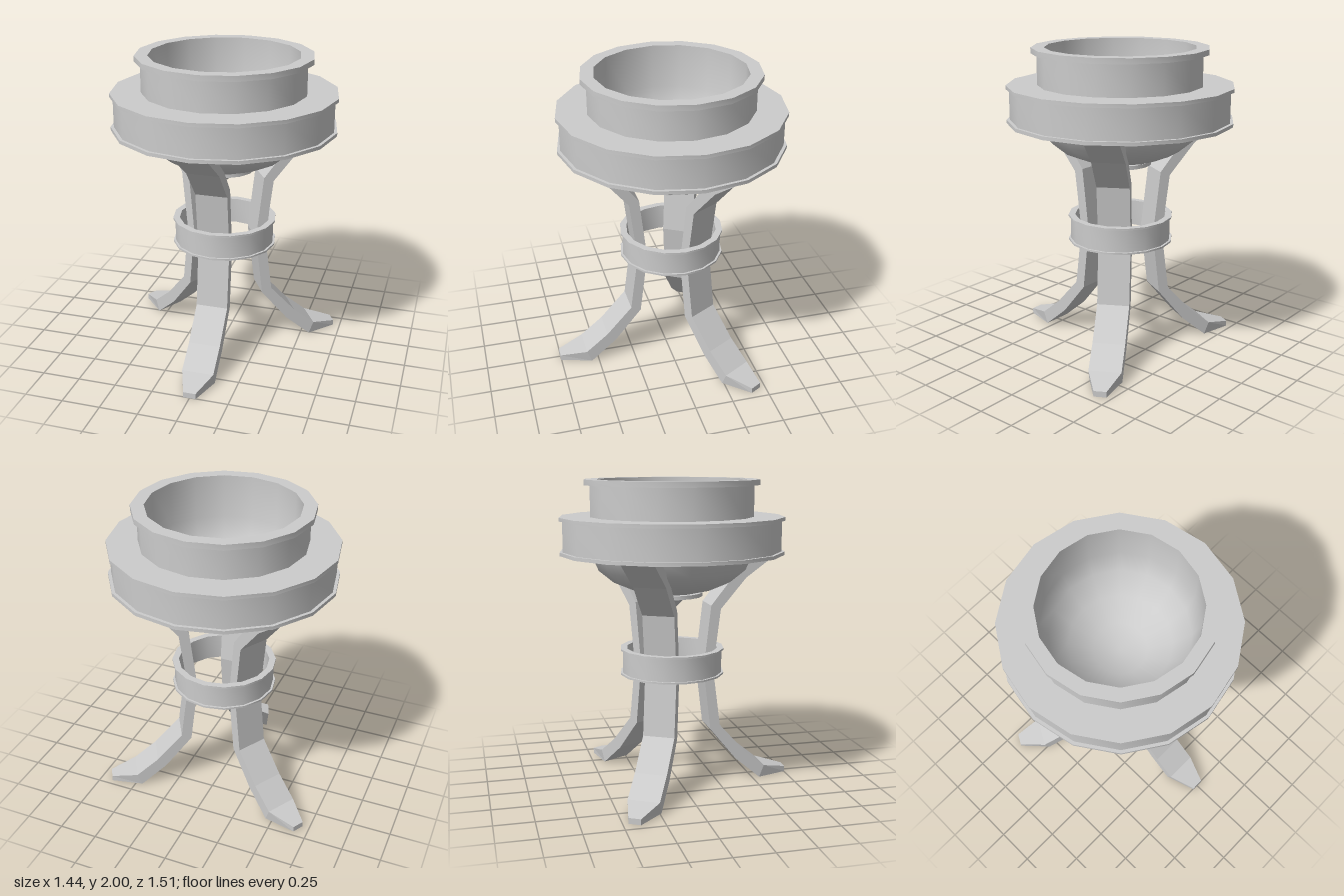
import * as THREE from 'three';
import { toCreasedNormals } from 'three/addons/utils/BufferGeometryUtils.js';

const SIDES = 16;
const AXIS_Z = -0.036;

// Turned part from [radius, height] pairs, listed up the outside and down the inside
function turned(name, profile, material) {
  const points = profile.map(([r, y]) => new THREE.Vector2(r, y));
  const geometry = toCreasedNormals(new THREE.LatheGeometry(points, SIDES), 0.6);
  const mesh = new THREE.Mesh(geometry, material);
  mesh.name = name;
  return mesh;
}

// Leg lofted through four-cornered sections: [innerR, innerY, outerR, outerY, halfWidth]
function legGeometry() {
  const sections = [
    [0.79, 0, 0.79, 0.037, 0.04],
    [0.585, 0, 0.617, 0.08, 0.104],
    [0.416, 0.145, 0.472, 0.2, 0.104],
    [0.237, 0.365, 0.302, 0.39, 0.104],
    [0.188, 0.78, 0.252, 0.78, 0.104],
    [0.237, 1.195, 0.302, 1.17, 0.104],
    [0.416, 1.42, 0.472, 1.37, 0.104],
    [0.57, 1.535, 0.7, 1.535, 0.104],
  ];
  const corners = sections.map(([ri, yi, ro, yo, w]) => [
    [-w, yi, ri], [w, yi, ri], [w, yo, ro], [-w, yo, ro],
  ]);
  const positions = [];
  const quad = (a, b, c, d) => positions.push(...a, ...b, ...c, ...a, ...c, ...d);
  for (let i = 0; i < corners.length - 1; i++) {
    for (let k = 0; k < 4; k++) {
      const n = (k + 1) % 4;
      quad(corners[i][n], corners[i][k], corners[i + 1][k], corners[i + 1][n]);
    }
  }
  // End caps
  quad(...corners[0]);
  quad(...[...corners[corners.length - 1]].reverse());
  const geometry = new THREE.BufferGeometry();
  geometry.setAttribute('position', new THREE.Float32BufferAttribute(positions, 3));
  geometry.computeVertexNormals();
  return geometry;
}

export function createModel() {
  const model = new THREE.Group();
  model.name = 'tripodBrazier';
  const smooth = new THREE.MeshStandardMaterial({ color: 0xcccccc, side: THREE.DoubleSide });
  const faceted = new THREE.MeshStandardMaterial({
    color: 0xcccccc, flatShading: true, side: THREE.DoubleSide,
  });

  const body = new THREE.Group();
  body.name = 'body';
  body.position.z = AXIS_Z;
  model.add(body);

  // Bowl with wide flanged band, neck, rim and hollow inside
  body.add(turned('bowl', [
    [0, 1.27], [0.15, 1.277], [0.27, 1.305], [0.38, 1.352], [0.475, 1.43], [0.52, 1.53],
    [0.72, 1.53], [0.72, 1.552], [0.7, 1.552], [0.7, 1.745], [0.72, 1.745], [0.72, 1.768],
    [0.524, 1.768], [0.524, 1.965], [0.56, 1.965], [0.56, 2],
    [0.477, 2], [0.477, 1.72], [0.43, 1.58], [0.32, 1.45], [0.17, 1.36], [0, 1.33],
  ], smooth));

  // Disc and pointed finial below the bowl
  body.add(turned('baseDisc', [
    [0, 1.255], [0.2, 1.255], [0.2, 1.28], [0, 1.28],
  ], smooth));
  body.add(turned('finial', [
    [0, 1.175], [0.025, 1.178], [0.06, 1.215], [0.105, 1.257],
  ], smooth));

  // Flanged ring that ties the legs together
  body.add(turned('legRing', [
    [0.297, 0.745], [0.34, 0.745], [0.34, 0.757], [0.326, 0.757],
    [0.326, 0.905], [0.34, 0.905], [0.34, 0.917], [0.297, 0.917], [0.297, 0.745],
  ], smooth));

  // Three splayed legs, one facing the front
  const geometry = legGeometry();
  ['frontLeg', 'backLeftLeg', 'backRightLeg'].forEach((name, i) => {
    const leg = new THREE.Mesh(geometry, faceted);
    leg.name = name;
    leg.rotation.y = (i * Math.PI * 2) / 3;
    body.add(leg);
  });

  return model;
}
